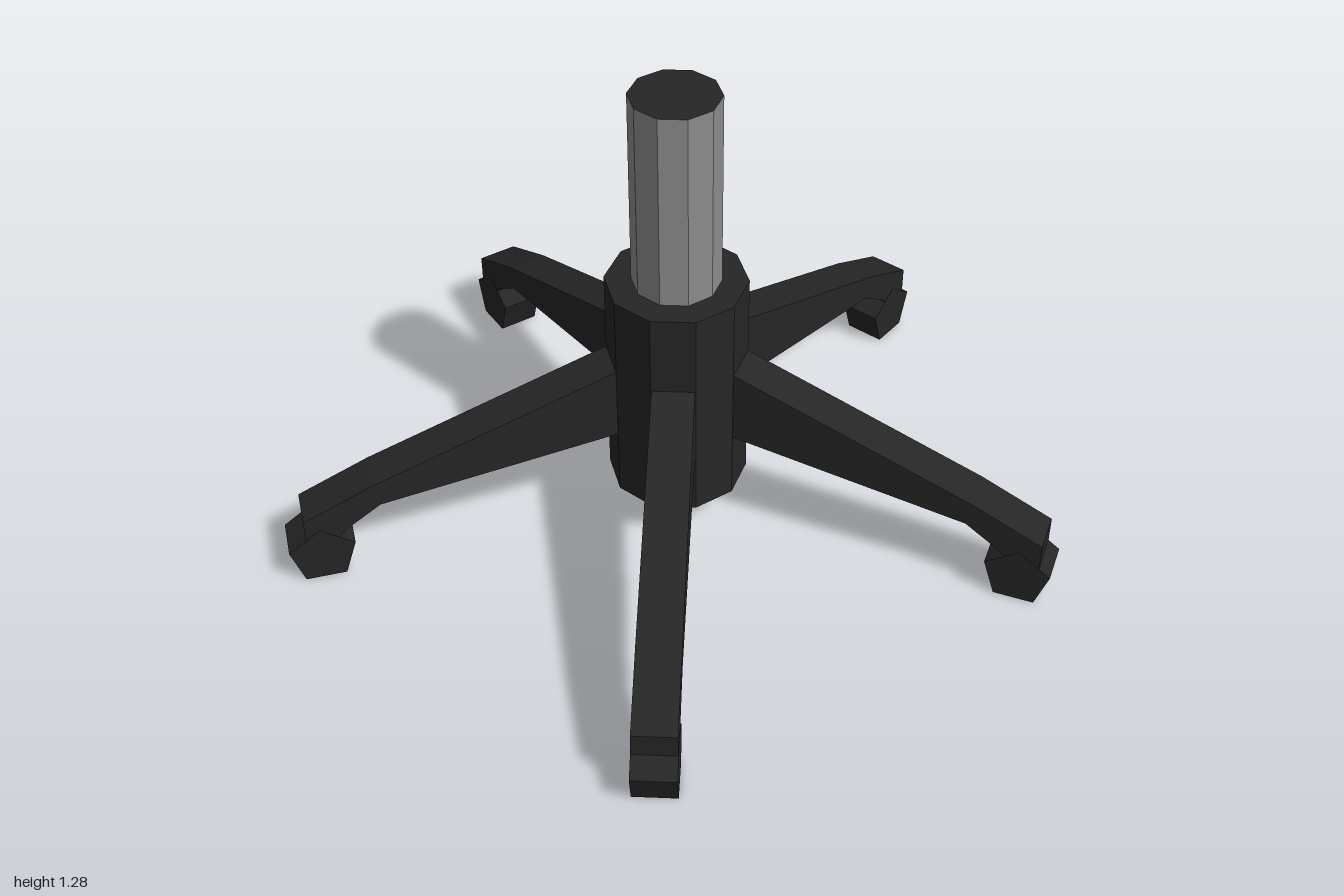
import * as THREE from 'three';

const dark = new THREE.MeshStandardMaterial({ color: 0x262626, flatShading: true });
const grey = new THREE.MeshStandardMaterial({ color: 0x8c8c8c, flatShading: true });
const WIDTH = 0.11;

function addMesh(parent, name, geometry, material) {
  const mesh = new THREE.Mesh(geometry, material);
  mesh.name = name;
  parent.add(mesh);
  return mesh;
}

export function createModel() {
  const base = new THREE.Group();
  base.name = 'swivelChairBase';
  base.position.x = -0.075;

  // Ten-sided hub and gas-lift post with a dark cap
  addMesh(base, 'hub', new THREE.CylinderGeometry(0.184, 0.184, 0.625, 10), dark).position.y = 0.43;
  addMesh(base, 'post', new THREE.CylinderGeometry(0.115, 0.115, 0.56, 10), [grey, dark, grey]).position.y = 1.005;

  // Side profile of one leg: radius from the hub axis, height
  const profile = [
    [0.165, 0.31], [0.805, 0.215], [0.9, 0.15], [0.92, 0.125],
    [1.005, 0.125], [1.005, 0.2], [0.815, 0.285], [0.165, 0.522],
  ];
  const shape = new THREE.Shape(profile.map(([r, y]) => new THREE.Vector2(r, y)));
  const legGeometry = new THREE.ExtrudeGeometry(shape, { depth: WIDTH, bevelEnabled: false });
  legGeometry.translate(0, 0, -WIDTH / 2);

  // Five-sided caster with one corner up and a flat bottom
  const casterGeometry = new THREE.CylinderGeometry(0.09, 0.09, WIDTH + 0.002, 5);
  casterGeometry.rotateX(-Math.PI / 2);

  // Five legs, each carrying a caster
  for (let i = 0; i < 5; i++) {
    const arm = new THREE.Group();
    arm.name = `arm${i + 1}`;
    arm.rotation.y = (i * 2 * Math.PI) / 5;
    addMesh(arm, 'leg', legGeometry, dark);
    const reach = i === 2 || i === 3 ? 0.967 : 0.95;
    addMesh(arm, 'caster', casterGeometry, dark).position.set(reach, 0.073, 0);
    base.add(arm);
  }

  const model = new THREE.Group();
  model.name = 'chairBase';
  model.add(base);
  return model;
}
